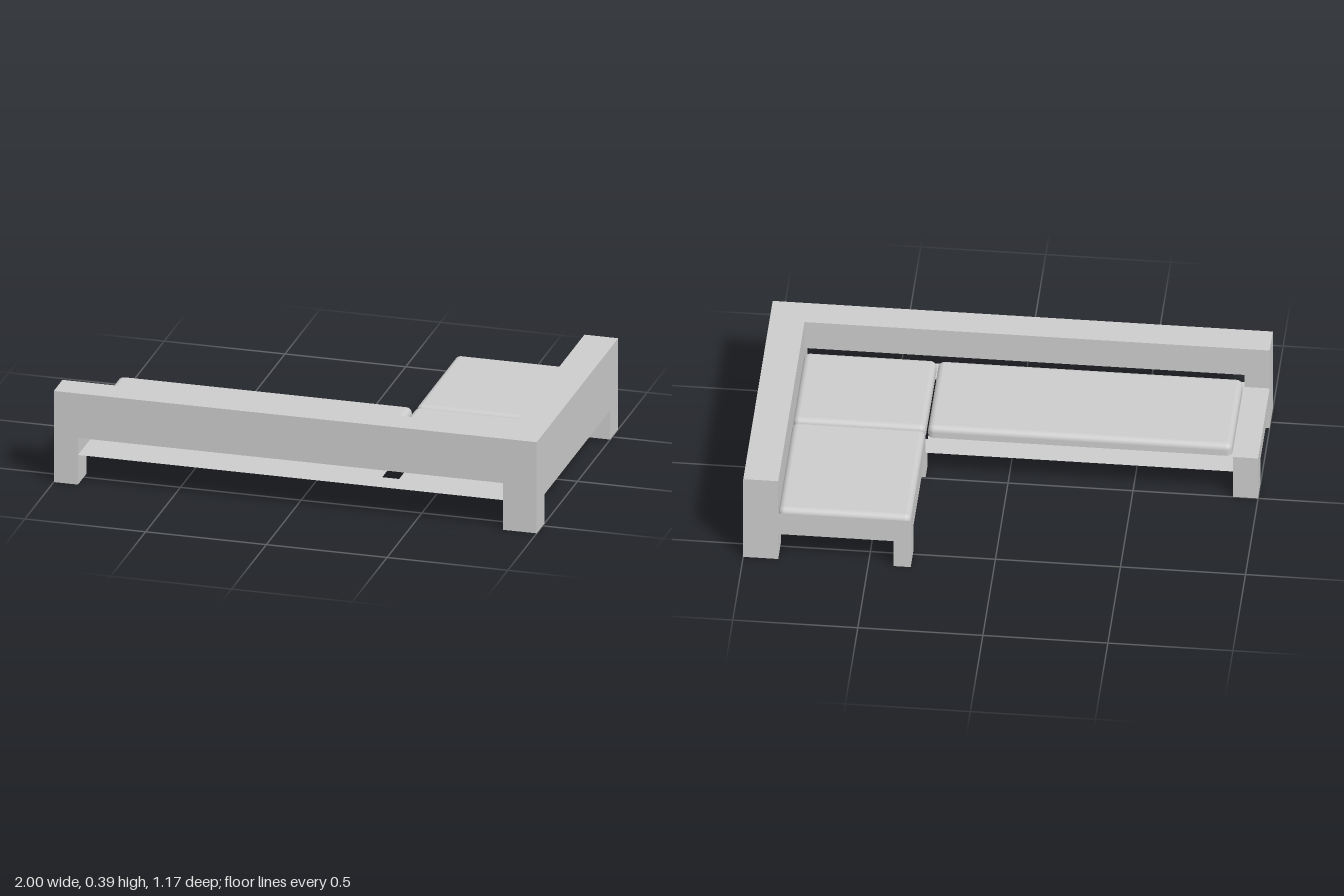
import * as THREE from 'three';
import { RoundedBoxGeometry } from 'three/addons/geometries/RoundedBoxGeometry.js';

const grey = new THREE.MeshStandardMaterial({ color: 0xcccccc });
const greyThin = new THREE.MeshStandardMaterial({ color: 0xcccccc, side: THREE.DoubleSide });

export function createModel() {
  const group = new THREE.Group();
  const add = (name, geometry, material = grey) => {
    const mesh = new THREE.Mesh(geometry, material);
    mesh.name = name;
    group.add(mesh);
  };

  // Box between two corners; `faces` picks sides in the order +x -x +y -y +z -z
  const box = (name, [x0, y0, z0], [x1, y1, z1], faces = [0, 1, 2, 3, 4, 5]) => {
    const g = new THREE.BoxGeometry(x1 - x0, y1 - y0, z1 - z0);
    g.translate((x0 + x1) / 2, (y0 + y1) / 2, (z0 + z1) / 2);
    const index = Array.from(g.index.array);
    g.setIndex(faces.flatMap((f) => index.slice(f * 6, f * 6 + 6)));
    g.clearGroups();
    add(name, g);
  };

  // Cushion with a flat underside and softly rounded upper edges
  const cushion = (name, [x0, y0, z0], [x1, y1, z1]) => {
    const g = new RoundedBoxGeometry(x1 - x0, 2 * (y1 - y0), z1 - z0, 4, 0.025);
    const p = g.attributes.position;
    for (let i = 0; i < p.count; i++) p.setY(i, Math.max(0, p.getY(i)));
    g.translate((x0 + x1) / 2, y0, (z0 + z1) / 2);
    add(name, g);
  };

  const legTop = 0.125, seat = 0.2, soft = 0.25, top = 0.39;
  const depth = 0.585, inner = 0.46;

  // Tall side with its two legs
  box('sideBack', [0.86, legTop, -depth], [1, top, depth]);
  box('sideLegFront', [0.86, 0, 0.47], [1, legTop, depth]);
  box('sideLegRear', [0.86, 0, -depth], [1, legTop, -0.47]);

  // Long backrest: open below, inner panel stops just above the cushions
  box('backrestShell', [-0.9, seat, inner], [0.86, top, depth], [2, 4]);
  box('backrestInnerPanel', [-0.9, 0.26, inner], [0.86, top, depth], [5]);
  box('backrestPost', [-1, 0, inner], [-0.9, top, depth]);

  // Low end rail and its leg
  box('endRail', [-1, legTop, 0], [-0.9, seat, inner]);
  box('endLeg', [-1, 0, 0], [-0.9, legTop, 0.09]);

  // Thin seat platform with a slot beside the middle leg
  const outline = new THREE.Shape([
    [-1, 0], [0.86, 0], [0.86, depth], [-1, depth],
  ].map(([x, z]) => new THREE.Vector2(x, z)));
  outline.holes.push(new THREE.Path([
    [0.33, 0.09], [0.33, 0.48], [0.4, 0.48], [0.4, 0.09],
  ].map(([x, z]) => new THREE.Vector2(x, z))));
  add('seatPlatform',
    new THREE.ShapeGeometry(outline).rotateX(Math.PI / 2).translate(0, legTop + 0.002, 0), greyThin);

  // Chaise skirt, open below, and the two inner legs
  box('chaiseSkirt', [0.33, legTop, -depth], [0.86, seat + 0.03, 0], [1, 4, 5]);
  box('chaiseLeg', [0.33, 0, -depth], [0.4, legTop, -0.47]);
  box('middleLeg', [0.33, 0, 0.005], [0.4, legTop, 0.09]);

  // Cushions
  cushion('chaiseCushion', [0.33, seat, -depth], [0.86, soft, -0.002]);
  cushion('cornerCushion', [0.33, seat, 0.002], [0.86, soft, 0.455]);
  cushion('longCushion', [-0.895, seat, 0.005], [0.322, soft, 0.455]);

  return group;
}
